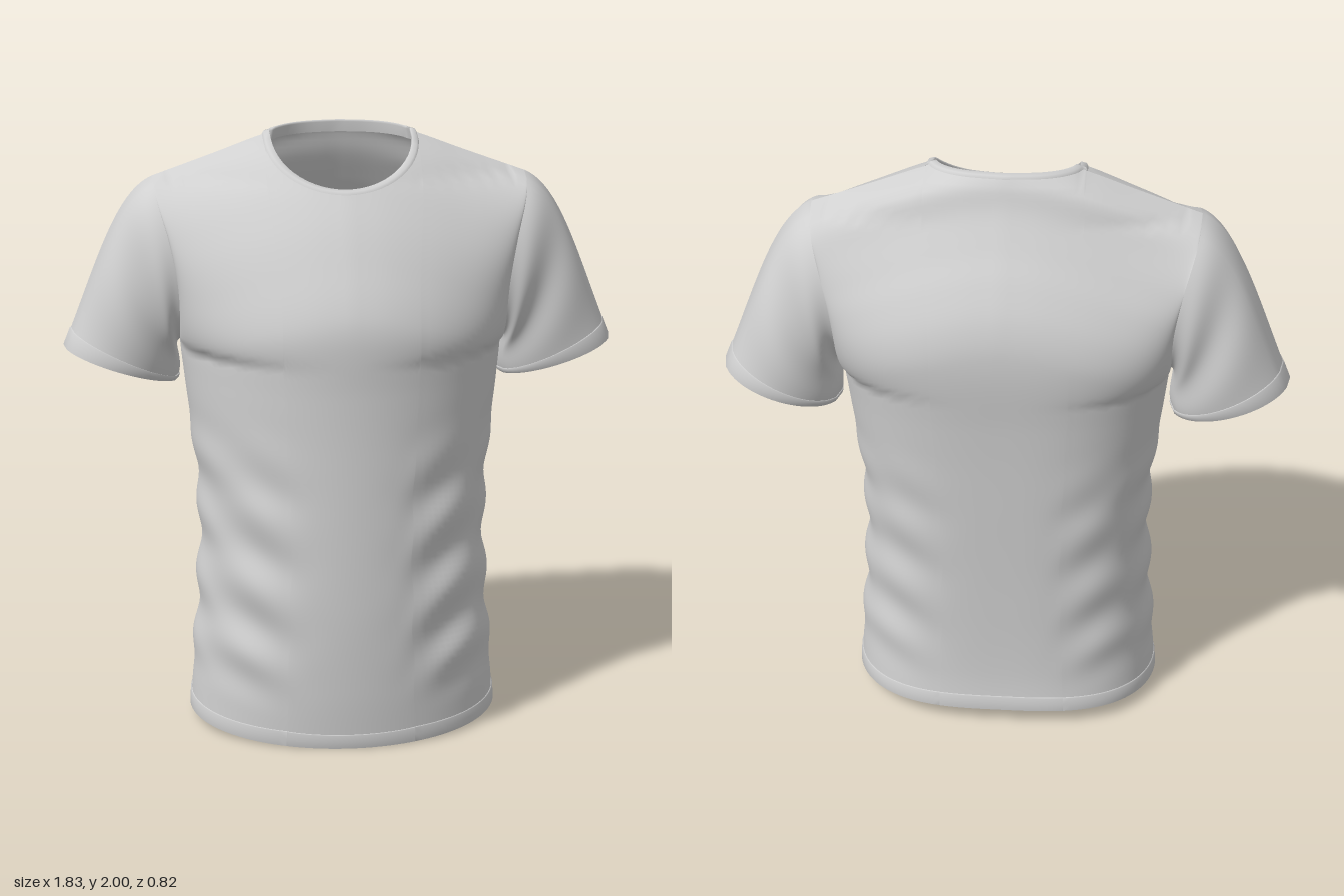
import * as THREE from 'three';

const ROWS = 100, ARMPIT = 70;            // rows from hem to shoulder, row of the armpit
const SHOULDER_X = 0.61, SHOULDER_Y = 1.84, NECK_X = 0.25;
const HEM_Y = 0.045;
const ARMPIT_Y = HEM_Y + (SHOULDER_Y - HEM_Y) * ARMPIT / ROWS;

// Smooth curve through [t, value] pairs, flat outside its ends
function curve(pts) {
  const n = pts.length;
  const slope = (i) => {
    const a = pts[Math.max(i - 1, 0)], b = pts[Math.min(i + 1, n - 1)];
    return (b[1] - a[1]) / (b[0] - a[0]);
  };
  return (t) => {
    if (t <= pts[0][0]) return pts[0][1];
    if (t >= pts[n - 1][0]) return pts[n - 1][1];
    let i = 0;
    while (t > pts[i + 1][0]) i++;
    const h = pts[i + 1][0] - pts[i][0], s = (t - pts[i][0]) / h, r = 1 - s;
    return pts[i][1] * r * r * (1 + 2 * s) + pts[i + 1][1] * s * s * (1 + 2 * r)
      + h * s * r * (slope(i) * r - slope(i + 1) * s);
  };
}

const halfWidth = curve([[0, 0.52], [0.2, 0.506], [0.5, 0.485], [0.75, 0.478], [1, 0.498],
  [1.2, 0.52], [1.3, 0.53], [1.5, 0.535], [1.65, 0.56], [1.78, 0.597], [SHOULDER_Y, SHOULDER_X]]);
const seamZ = curve([[0, 0.01], [0.6, 0], [1.15, -0.04], [1.5, -0.08], [2, -0.08]]);
const shoulderY = curve([[0, 2.02], [0.12, 2.005], [NECK_X, 1.97], [0.4, 1.915], [SHOULDER_X, SHOULDER_Y]]);
// Centre depth of each panel, and how it grows with the root of the distance below the shoulder
const FRONT = {
  dir: 1, round: 2, arm: 0.21, hem: -0.04, neck: -0.155, fold: 0.013,
  depth: curve([[0, 0.37], [0.2, 0.388], [0.5, 0.402], [1.2, 0.402], [1.4, 0.412], [2, 0.412]]),
  rise: curve([[0, 0], [0.224, 0.28], [0.447, 0.57], [0.548, 0.71], [0.632, 0.82], [0.75, 0.97], [0.82, 1], [1, 1]]),
};
const BACK = {
  dir: -1, round: 3, arm: 0.2, hem: 0.02, neck: 0.015, fold: 0.006,
  depth: curve([[0, -0.338], [0.2, -0.325], [0.5, -0.335], [0.9, -0.362], [1.2, -0.385], [1.45, -0.41], [2, -0.41]]),
  rise: curve([[0, 0], [0.173, 0.33], [0.36, 0.46], [0.48, 0.62], [0.57, 0.79], [0.66, 0.94], [0.74, 1], [1, 1]]),
};

// Columns across a panel, with one exactly at each neck point
const COLS = [];
const uNeck = NECK_X / SHOULDER_X, a0 = Math.asin(uNeck);
for (let i = 0; i < 14; i++) COLS.push(uNeck * Math.sin((i / 14) * Math.PI / 2));
const NECK_COL = COLS.length;
for (let i = 0; i <= 22; i++) COLS.push(Math.sin(a0 + (i / 22) * (Math.PI / 2 - a0)));
const ALL = [...COLS.slice(1).reverse().map((u) => -u), ...COLS];
const NECK_ALL = ALL.slice(COLS.length - 1 - NECK_COL, COLS.length + NECK_COL);

// Point on the front or back panel; u runs across, v from hem to top edge
function panelPoint(p, u, v, off = 0) {
  const w = Math.abs(u), round = Math.sqrt(Math.max(0, 1 - w * w));
  const xTop = w * SHOULDER_X;
  const top = xTop < NECK_X - 1e-6
    ? 1.97 + p.neck * Math.sqrt(1 - (xTop / NECK_X) ** 2) : shoulderY(xTop);
  const bottom = HEM_Y + p.hem * round;
  const y = bottom + (top - bottom) * v;
  const low = THREE.MathUtils.smoothstep(y, 0.1, 0.35) * (1 - THREE.MathUtils.smoothstep(y, 0.8, 1.15));
  const x = u * (halfWidth(y) + low * 0.009 * Math.sin(27 * y) + off);

  // side seam below, armhole opening above
  const t = THREE.MathUtils.clamp((y - ARMPIT_Y) / (SHOULDER_Y - ARMPIT_Y), 0, 1);
  const seam = seamZ(y);
  const edge = seam + p.dir * p.arm * Math.sqrt(4 * t * (1 - t));
  const d = Math.max(0, shoulderY(Math.abs(x)) - y);
  const centre = seam + (p.depth(y) - seam) * p.rise(Math.sqrt(d));
  const s = Math.sqrt(Math.max(0, 1 - w ** p.round));
  // slanting cloth folds near the sides
  const side = THREE.MathUtils.smoothstep(w, 0.25, 0.7) * Math.min(1, round * 2.2);
  const fold = p.fold * low * side * Math.sin(24 * (y - 0.75 * Math.abs(x)) + (u > 0 ? 0.9 : 0));
  return new THREE.Vector3(x, y, edge + (centre - edge) * s + p.dir * (fold + off * s));
}

// Point on a sleeve; i runs round the armhole from the armpit over the front, k from armhole to cuff
const ARM = ROWS - ARMPIT;
function sleevePoint(sign, i, k, off = 0) {
  const front = i <= ARM, row = front ? i : 2 * ARM - i;
  const p0 = panelPoint(front ? FRONT : BACK, 1, (ARMPIT + row) / ROWS);
  const c = 2 * row / ARM - 1, s = Math.sqrt(Math.max(0, 1 - c * c)) * (front ? 1 : -1);
  const p3 = new THREE.Vector3(0.725 + 0.185 * c, 1.22 + 0.06 * c, -0.1 + 0.17 * s);
  const len = p0.distanceTo(p3);
  const p1 = p0.clone().add(new THREE.Vector3(0.19, -0.08, 0).multiplyScalar(len));
  const p2 = p3.clone().add(new THREE.Vector3(-0.18, 0.44, 0.03 * s).multiplyScalar(len));
  const q = new THREE.CubicBezierCurve3(p0, p1, p2, p3).getPoint(k);
  q.x += off * c;
  q.z += off * s + 0.012 * s * Math.sin(Math.PI * k) * Math.sin(9 * k + 2 * c);
  q.x *= sign;
  return q;
}

// Surface through rows of points
function sheet(name, rows, material, flip = false) {
  const n = rows[0].length, index = [];
  for (let j = 0; j + 1 < rows.length; j++) {
    for (let i = 0; i + 1 < n; i++) {
      const a = j * n + i, b = a + 1, c = a + n, d = c + 1;
      if (flip) index.push(a, c, b, b, c, d);
      else index.push(a, b, c, b, d, c);
    }
  }
  const geo = new THREE.BufferGeometry().setFromPoints(rows.flat());
  geo.setIndex(index);
  geo.computeVertexNormals();
  const mesh = new THREE.Mesh(geo, material);
  mesh.name = name;
  return mesh;
}

export function createModel() {
  const cloth = new THREE.MeshStandardMaterial({ color: 0xd0d0d0, side: THREE.DoubleSide });
  cloth.name = 'light grey cloth';
  const shirt = new THREE.Group();
  shirt.name = 'tShirt';
  const steps = (n) => Array.from({ length: n + 1 }, (_, i) => i / n);

  for (const [p, label] of [[FRONT, 'front'], [BACK, 'back']]) {
    const flip = p === BACK;
    // body panel
    shirt.add(sheet(label + 'Panel',
      steps(ROWS).map((v) => ALL.map((u) => panelPoint(p, u, v))), cloth, flip));
    // turned hem, raised slightly from the panel
    shirt.add(sheet(label + 'Hem',
      [[0, 0], [0, 0.004], [0.013, 0.004], [0.026, 0.004], [0.027, 0]].map(([v, off]) =>
        ALL.map((u) => panelPoint(p, u, v, off))), cloth, flip));
    // collar band, leaning in from the neckline
    const neck = (scale, lift) => NECK_ALL.map((u) => {
      const q = panelPoint(p, u, 1);
      return new THREE.Vector3(q.x * scale, q.y + lift, -0.01 + (q.z + 0.01) * scale);
    });
    shirt.add(sheet(label + 'Collar',
      [neck(1.01, 0), neck(0.99, 0.01), neck(0.92, 0.015), neck(0.91, 0.008), neck(0.94, -0.025)], cloth, flip));
  }

  // sleeves with turned cuffs
  const loop = Array.from({ length: 2 * ARM + 1 }, (_, i) => i);
  for (const [sign, label] of [[1, 'left'], [-1, 'right']]) {
    shirt.add(sheet(label + 'Sleeve',
      steps(28).map((k) => loop.map((i) => sleevePoint(sign, i, k))), cloth, sign > 0));
    shirt.add(sheet(label + 'Cuff',
      [[0.93, 0], [0.932, 0.004], [0.965, 0.004], [1, 0.004], [1, 0]].map(([k, off]) =>
        loop.map((i) => sleevePoint(sign, i, k, off))), cloth, sign > 0));
  }
  return shirt;
}
